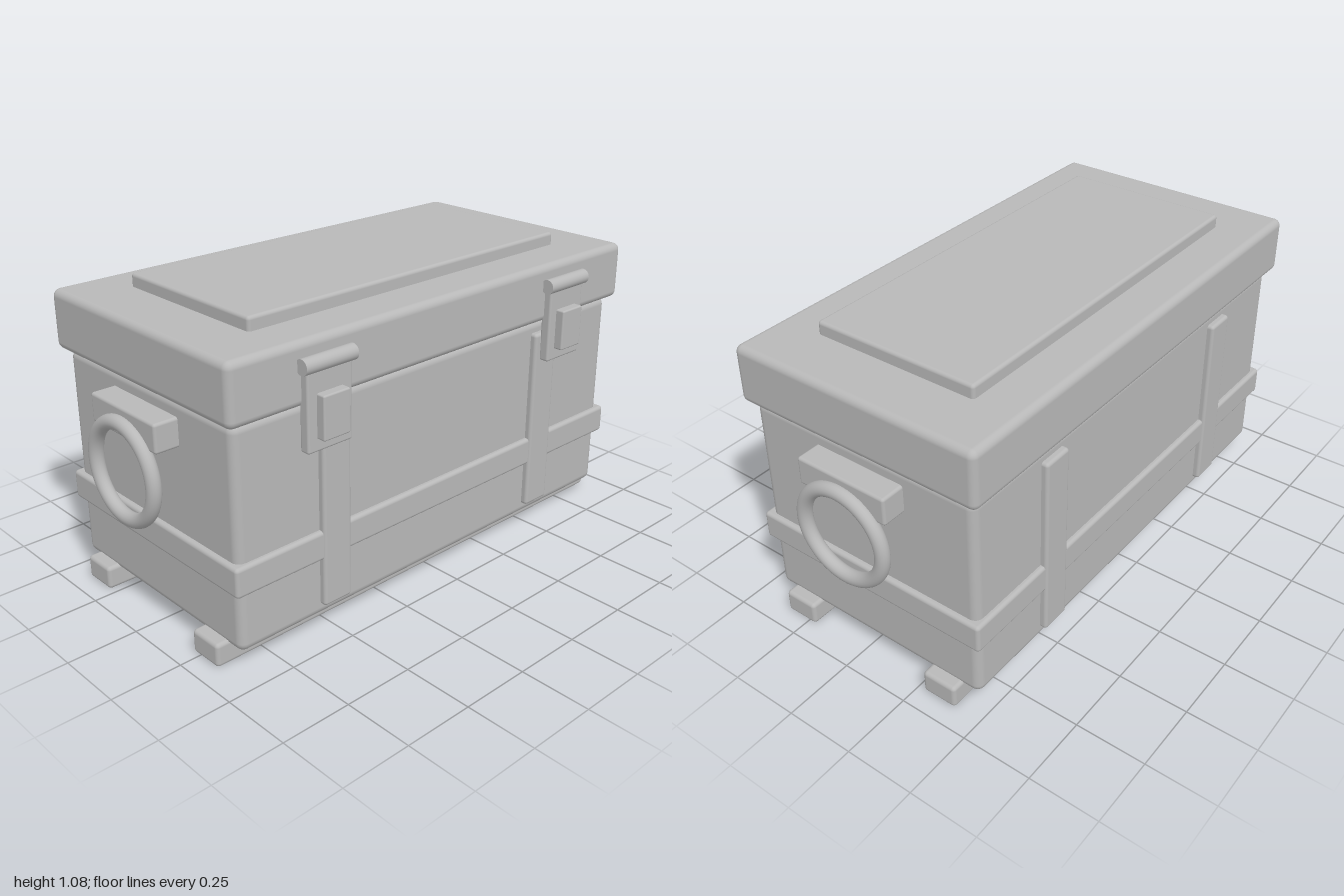
import * as THREE from 'three';
import { RoundedBoxGeometry } from 'three/addons/geometries/RoundedBoxGeometry.js';

const grey = new THREE.MeshStandardMaterial({ color: 0xb8b8b8 });
grey.name = 'grey';

const MID_Z = -0.028; // centre of the chest; the latches stick out in front

export function createModel() {
  const chest = new THREE.Group();
  chest.name = 'chest';

  const add = (name, geometry, x, y, z) => {
    const mesh = new THREE.Mesh(geometry, grey);
    mesh.name = name;
    mesh.position.set(x, y, z);
    chest.add(mesh);
    return mesh;
  };
  // Rounded box given by centre x, y range, centre z, width and depth
  const box = (name, x, y0, y1, z, w, d, r) =>
    add(name, new RoundedBoxGeometry(w, y1 - y0, d, 3, r), x, (y0 + y1) / 2, z);

  // Main box, lid and raised lid panel
  box('body', 0, 0.063, 0.828, MID_Z, 1.766, 0.884, 0.03);
  box('lid', 0, 0.828, 1.035, MID_Z, 1.824, 0.944, 0.026);
  box('lidPanel', 0, 1.01, 1.081, MID_Z, 1.414, 0.617, 0.012);

  // Horizontal band around the body
  box('band', 0, 0.275, 0.378, MID_Z, 1.804, 0.92, 0.013);

  for (const side of [-1, 1]) {
    const sideName = side > 0 ? 'left' : 'right';

    // Vertical straps on front and back
    for (const face of [-1, 1])
      box(sideName + (face > 0 ? 'FrontStrap' : 'BackStrap'),
        side * 0.503, 0.105, 0.784, MID_Z + face * 0.443, 0.116, 0.046, 0.012);

    // Latch: plate, button and hinge pin
    const x = side * 0.56;
    box(sideName + 'LatchPlate', x, 0.684, 0.96, 0.452, 0.177, 0.038, 0.008);
    box(sideName + 'LatchButton', x, 0.727, 0.873, 0.483, 0.106, 0.04, 0.006);
    const pin = add(sideName + 'LatchPin', new THREE.CylinderGeometry(0.026, 0.026, 0.203, 24), x, 0.963, 0.461);
    pin.rotation.z = Math.PI / 2;

    // Carrying ring with its bracket
    box(sideName + 'RingBracket', side * 0.915, 0.675, 0.775, MID_Z, 0.106, 0.351, 0.01);
    const ring = add(sideName + 'Ring', new THREE.TorusGeometry(0.162, 0.025, 20, 64), side * 0.975, 0.563, MID_Z);
    ring.rotation.y = Math.PI / 2;
  }

  // Skids underneath, front and back
  for (const face of [-1, 1])
    box(face > 0 ? 'frontSkid' : 'backSkid', 0, 0, 0.084, MID_Z + face * 0.31, 1.854, 0.13, 0.014);

  return chest;
}
